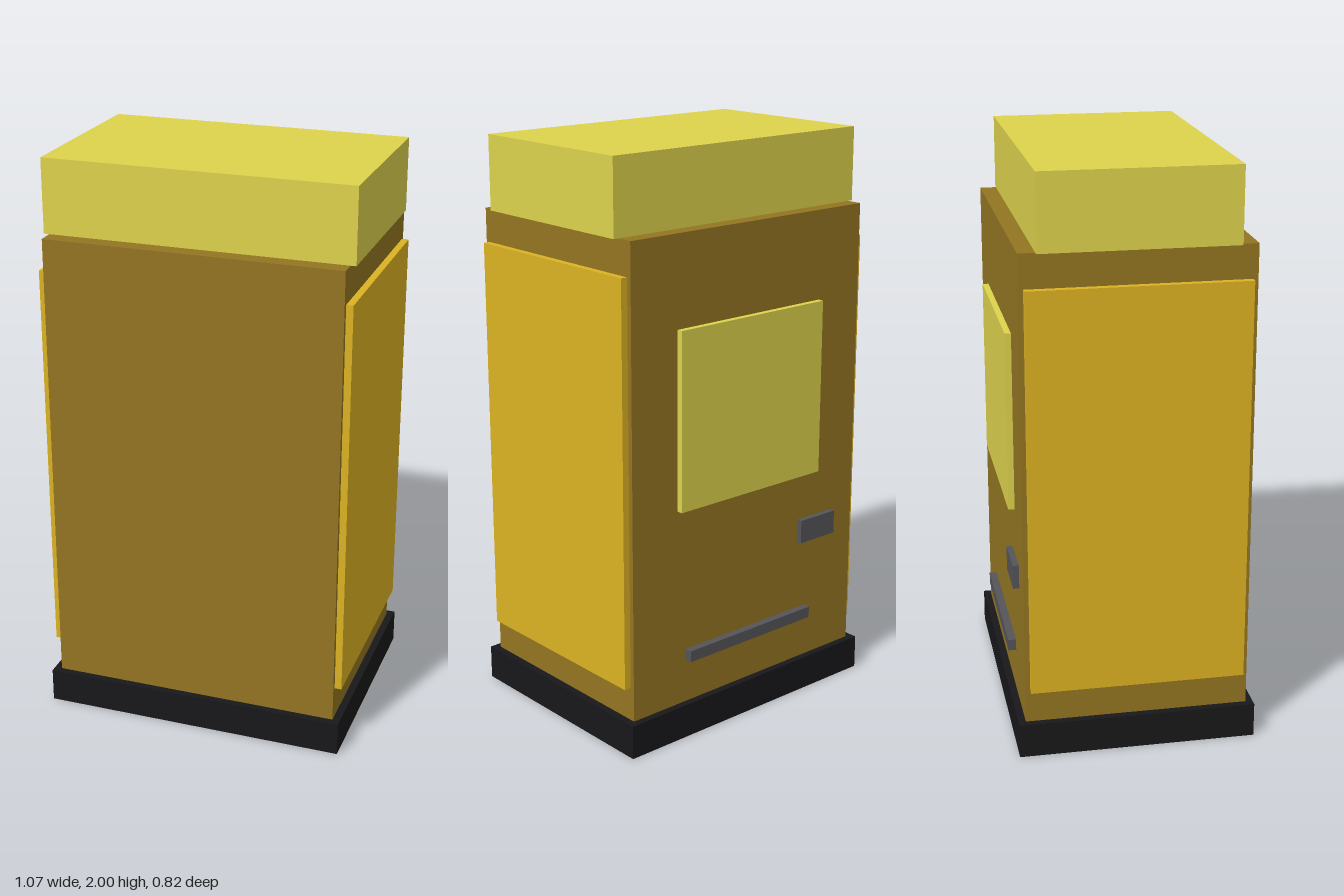
import * as THREE from 'three';

const material = (color) => new THREE.MeshStandardMaterial({ color });

export function createModel() {
  const model = new THREE.Group();
  const brown = material(0x937521);
  const amber = material(0xdcb222);
  const yellow = material(0xddd34d);
  const black = material(0x18181a);
  const grey = material(0x55555a);

  // Box given by its extents along each axis
  function box(name, mat, [x0, x1], [y0, y1], [z0, z1]) {
    const mesh = new THREE.Mesh(new THREE.BoxGeometry(x1 - x0, y1 - y0, z1 - z0), mat);
    mesh.position.set((x0 + x1) / 2, (y0 + y1) / 2, (z0 + z1) / 2);
    mesh.name = name;
    model.add(mesh);
  }

  // Cabinet
  box('base', black, [-0.537, 0.537], [0, 0.12], [-0.409, 0.409]);
  box('cabinet', brown, [-0.511, 0.511], [0.12, 1.745], [-0.384, 0.384]);
  box('topSign', yellow, [-0.53, 0.53], [1.745, 2], [-0.327, 0.327]);

  // Raised side panels
  box('leftPanel', amber, [0.505, 0.535], [0.237, 1.63], [-0.367, 0.367]);
  box('rightPanel', amber, [-0.535, -0.505], [0.237, 1.63], [-0.367, 0.367]);

  // Fittings on the back face
  box('screen', yellow, [-0.319, 0.319], [0.82, 1.435], [-0.405, -0.375]);
  box('slot', grey, [-0.405, -0.24], [0.568, 0.652], [-0.405, -0.375]);
  box('tray', grey, [-0.283, 0.283], [0.275, 0.315], [-0.411, -0.375]);

  return model;
}
